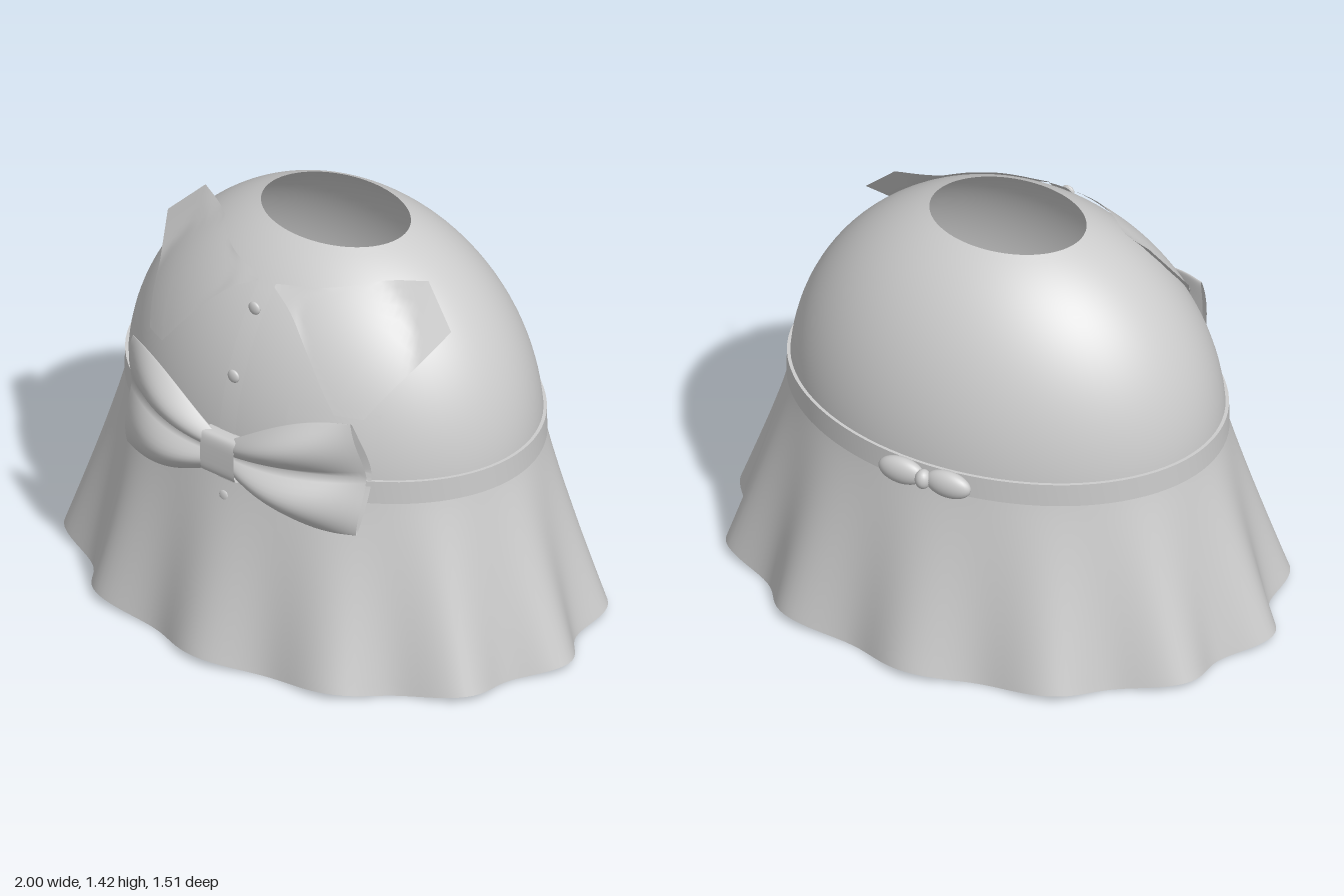
import * as THREE from 'three';
import { mergeVertices } from 'three/addons/utils/BufferGeometryUtils.js';

// Dome ellipsoid shared by the parts that lie on it
const RX = 0.768, RZ = 0.57, RY = 0.775, CY = 0.7;
const domeZ = (x, y) =>
  RZ * Math.sqrt(Math.max(0, 1 - (x / RX) ** 2 - ((y - CY) / RY) ** 2));

// Smooth surface from a rule f(u, v) -> [x, y, z]
function surface(f, nu, nv) {
  const pos = [], idx = [];
  for (let j = 0; j <= nv; j++)
    for (let i = 0; i <= nu; i++) pos.push(...f(i / nu, j / nv));
  for (let j = 0; j < nv; j++)
    for (let i = 0; i < nu; i++) {
      const a = j * (nu + 1) + i, b = a + 1, c = a + nu + 1, d = c + 1;
      idx.push(a, b, c, b, d, c);
    }
  let g = new THREE.BufferGeometry();
  g.setAttribute('position', new THREE.Float32BufferAttribute(pos, 3));
  g.setIndex(idx);
  g = mergeVertices(g, 1e-5);
  g.computeVertexNormals();
  return g;
}

const curve = pts => new THREE.CatmullRomCurve3(
  pts.map(p => new THREE.Vector3(...p)), false, 'centripetal');

export function createModel() {
  const model = new THREE.Group();
  const cloth = new THREE.MeshStandardMaterial({ color: 0xcccccc, side: THREE.DoubleSide });
  cloth.name = 'light grey cloth';
  const add = (name, geo, x = 0, y = 0, z = 0) => {
    const m = new THREE.Mesh(geo, cloth);
    m.name = name;
    m.position.set(x, y, z);
    model.add(m);
    return m;
  };

  // Dome body, open at the neck and below
  const a0 = Math.asin((0.17 - CY) / RY), a1 = Math.asin((1.423 - CY) / RY);
  add('body', surface((u, v) => {
    const t = -u * Math.PI * 2, a = a0 + (a1 - a0) * v, r = Math.cos(a);
    return [RX * r * Math.cos(t), CY + RY * Math.sin(a), RZ * r * Math.sin(t)];
  }, 96, 40));

  // Ball inside the body
  add('innerBall', new THREE.SphereGeometry(0.235, 32, 24), 0, 0.57, 0);

  // Flared skirt with twelve folds that deepen toward the hem
  add('skirt', surface((u, v) => {
    const t = -u * Math.PI * 2, d = 1 - v, w = 0.5 - 0.5 * Math.cos(12 * t);
    const k = 1 - 0.08 * w * d ** 1.3, s = d ** 1.1;
    return [(0.767 + 0.233 * s) * k * Math.cos(t),
      0.7 * v + 0.025 * (1 - w) * d,
      (0.571 + 0.182 * s) * k * Math.sin(t)];
  }, 192, 20));

  // Belt band: lower lip, face and upper lip
  const band = [[0, 0.68], [0.011, 0.68], [0.009, 0.765], [-0.006, 0.765]];
  for (let i = 0; i < 3; i++)
    add('belt', surface((u, v) => {
      const t = -u * Math.PI * 2, p = band[i], q = band[i + 1];
      const o = p[0] + (q[0] - p[0]) * v;
      return [(RX + o) * Math.cos(t), p[1] + (q[1] - p[1]) * v, (RZ + o) * Math.sin(t)];
    }, 96, 1));

  // Button placket down the front
  add('placket', surface((u, v) => {
    const x = (u - 0.5) * 0.068, y = 0.62 + 0.7 * v;
    return [x, y, domeZ(x, y) + 0.015];
  }, 4, 24));
  for (const y of [1.245, 1.03, 0.8, 0.58])
    add('button', new THREE.SphereGeometry(0.024, 20, 14), 0, y, domeZ(0, y) + 0.027)
      .scale.z = 0.45;

  // Chest pocket, partly behind the bow
  add('pocket', surface((u, v) => {
    const x = 0.215 + 0.29 * u, y = 0.78 + 0.215 * v;
    return [x, y, domeZ(x, y) + 0.008];
  }, 10, 8));

  // Collar lapels, ruled between the neck edge and the front edge
  const neckEdge = curve([[0.035, 1.32, 0.36], [0.2, 1.34, 0.3], [0.36, 1.365, 0.16],
    [0.48, 1.38, 0.1]]);
  const frontEdge = curve([[0.035, 1.312, 0.37], [0.13, 1.26, 0.4], [0.24, 1.15, 0.44],
    [0.37, 0.985, 0.45]]);
  const tipTop = new THREE.Vector3(0.61, 1.25, 0.14);
  const tipLow = new THREE.Vector3(0.46, 0.98, 0.42);
  for (const s of [1, -1])
    add(s > 0 ? 'leftLapel' : 'rightLapel', surface((u, v) => {
      const k = Math.min(1, u / 0.75), e = Math.max(0, (u - 0.75) / 0.25);
      const p = neckEdge.getPoint(k).lerp(tipTop, e);
      p.lerp(frontEdge.getPoint(k).lerp(tipLow, e), 1 - v);
      return [s * p.x, p.y, Math.max(p.z, domeZ(p.x, p.y) + 0.012)];
    }, 24, 14));

  // Front bow: puffed loops pinched at the middle, with a wavy outer edge
  for (const s of [1, -1])
    add(s > 0 ? 'leftBowLoop' : 'rightBowLoop', surface((u, v) => {
      const a = v * Math.PI * 2, h = Math.sin(a), front = Math.cos(a) > 0;
      const grow = Math.sin(Math.min(1, u * 1.1) * Math.PI / 2);
      const mid = 0.755 + (0.025 + s * 0.01) * u;
      const half = 0.07 + 0.145 * grow;
      const x = 0.04 + (0.465 - 0.012 * h - 0.025 * h * h) * u;
      const base = 0.6 - 0.02 * u - (0.1 + 0.02 * Math.cos(Math.PI * h)) * u * u;
      const lobes = Math.sin(Math.abs(h) * Math.PI) ** 0.9;
      const puff = 0.068 * Math.sin(Math.PI * Math.min(1, u * 0.85 + 0.1)) * lobes;
      const z = base + (front ? puff : puff * 0.4 - 0.028 * Math.abs(Math.cos(a)));
      return [s * x, mid + half * h, z];
    }, 24, 64));
  const soft = k => Math.sign(k) * Math.abs(k) ** 0.5;
  add('bowKnot', surface((u, v) => {
    const a = u * Math.PI * 2, w = 0.062 + 0.01 * (2 * v - 1) ** 2;
    return [w * (2 * v - 1), 0.75 + 0.08 * soft(Math.sin(a)), 0.595 + 0.036 * soft(Math.cos(a))];
  }, 40, 8));

  // Small bow on the back of the belt
  for (const s of [1, -1])
    add('backBowLoop', new THREE.SphereGeometry(1, 28, 18), s * 0.088, 0.73, -0.6)
      .scale.set(0.085, 0.05, 0.035);
  add('backBowKnot', new THREE.SphereGeometry(1, 20, 14), 0, 0.73, -0.612)
    .scale.set(0.028, 0.036, 0.03);

  return model;
}
